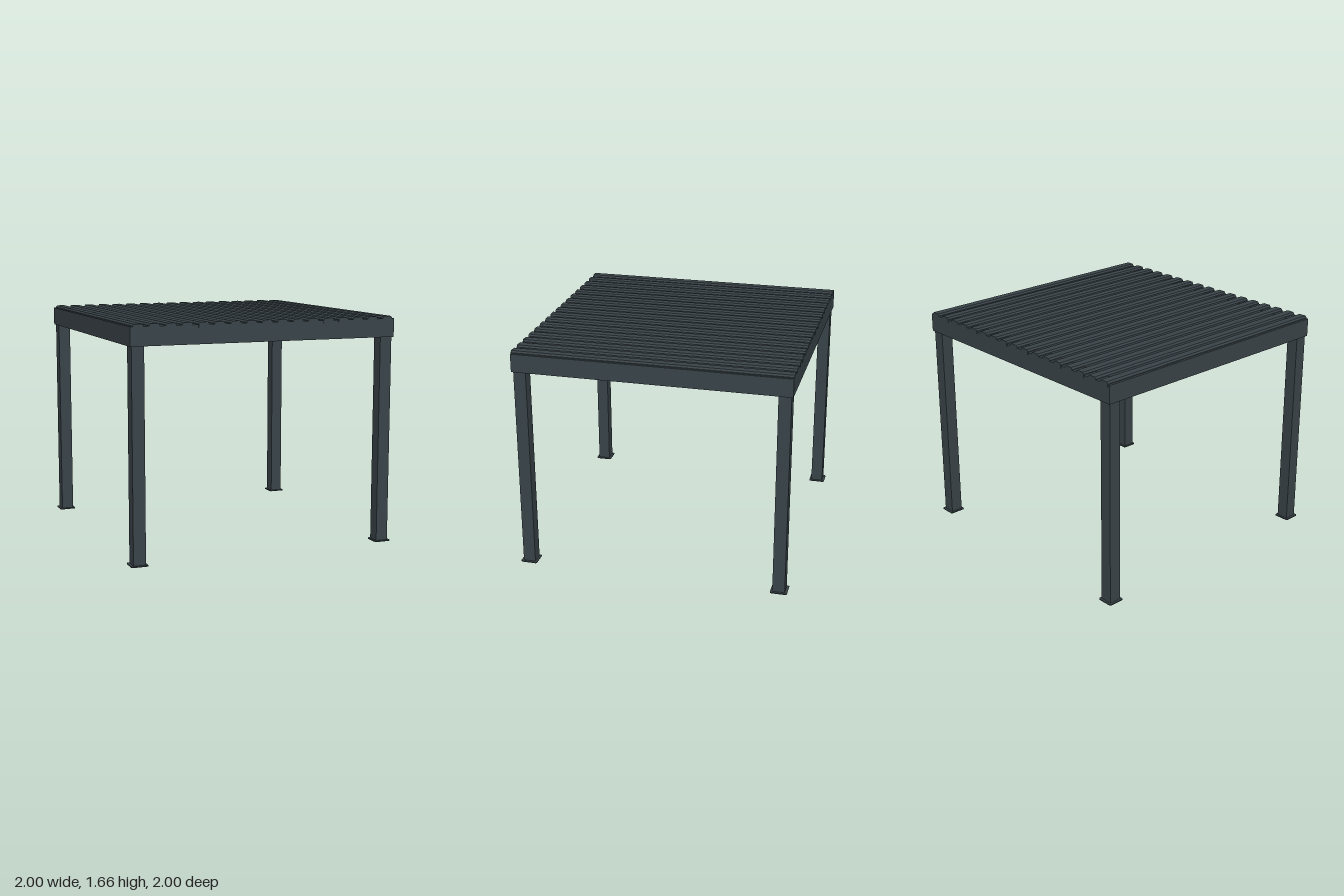
import * as THREE from 'three';

export function createModel() {
  const model = new THREE.Group();
  const material = new THREE.MeshStandardMaterial({ color: 0x394348, flatShading: true });

  const add = (name, geometry, x, y, z) => {
    const mesh = new THREE.Mesh(geometry, material);
    mesh.name = name;
    mesh.position.set(x, y, z);
    model.add(mesh);
  };
  const box = (name, w, h, d, x, y, z) => add(name, new THREE.BoxGeometry(w, h, d), x, y, z);

  const half = 0.995;          // outer edge of the roof frame
  const beamBottom = 1.51, beamTop = 1.643, beamWidth = 0.105;
  const beamHeight = beamTop - beamBottom, beamY = (beamTop + beamBottom) / 2;

  // Base plate with small cut corners
  const p = 0.061, c = 0.008;
  const plateShape = new THREE.Shape([
    [-p + c, -p], [p - c, -p], [p, -p + c], [p, p - c],
    [p - c, p], [-p + c, p], [-p, p - c], [-p, -p + c],
  ].map(([x, y]) => new THREE.Vector2(x, y)));
  const plate = new THREE.ExtrudeGeometry(plateShape, { depth: 0.008, bevelEnabled: false });
  plate.rotateX(-Math.PI / 2);

  // Four posts on their plates
  for (const sx of [-1, 1]) {
    for (const sz of [-1, 1]) {
      box('post', 0.09, beamBottom, 0.09, sx * 0.938, beamBottom / 2, sz * 0.938);
      add('basePlate', plate, sx * 0.939, 0, sz * 0.939);
    }
  }

  // Perimeter beams
  for (const s of [-1, 1]) {
    const offset = s * (half - beamWidth / 2);
    box(s > 0 ? 'frontBeam' : 'backBeam', half * 2, beamHeight, beamWidth, 0, beamY, offset);
    box('sideBeam', beamWidth, beamHeight, 2 * (half - beamWidth), offset, beamY, 0);
  }

  // Roof slats with chamfered top edges, running front to back over the beams
  const slatShape = new THREE.Shape([
    [-0.038, 1.625], [0.038, 1.625], [0.038, 1.648],
    [0.028, 1.661], [-0.028, 1.661], [-0.038, 1.648],
  ].map(([x, y]) => new THREE.Vector2(x, y)));
  const slat = new THREE.ExtrudeGeometry(slatShape, { depth: half * 2 + 0.002, bevelEnabled: false });
  slat.translate(0, 0, -half - 0.001);
  for (let i = -8; i <= 8; i++) add('roofSlat', slat, i * 0.1175, 0, 0);

  return model;
}
